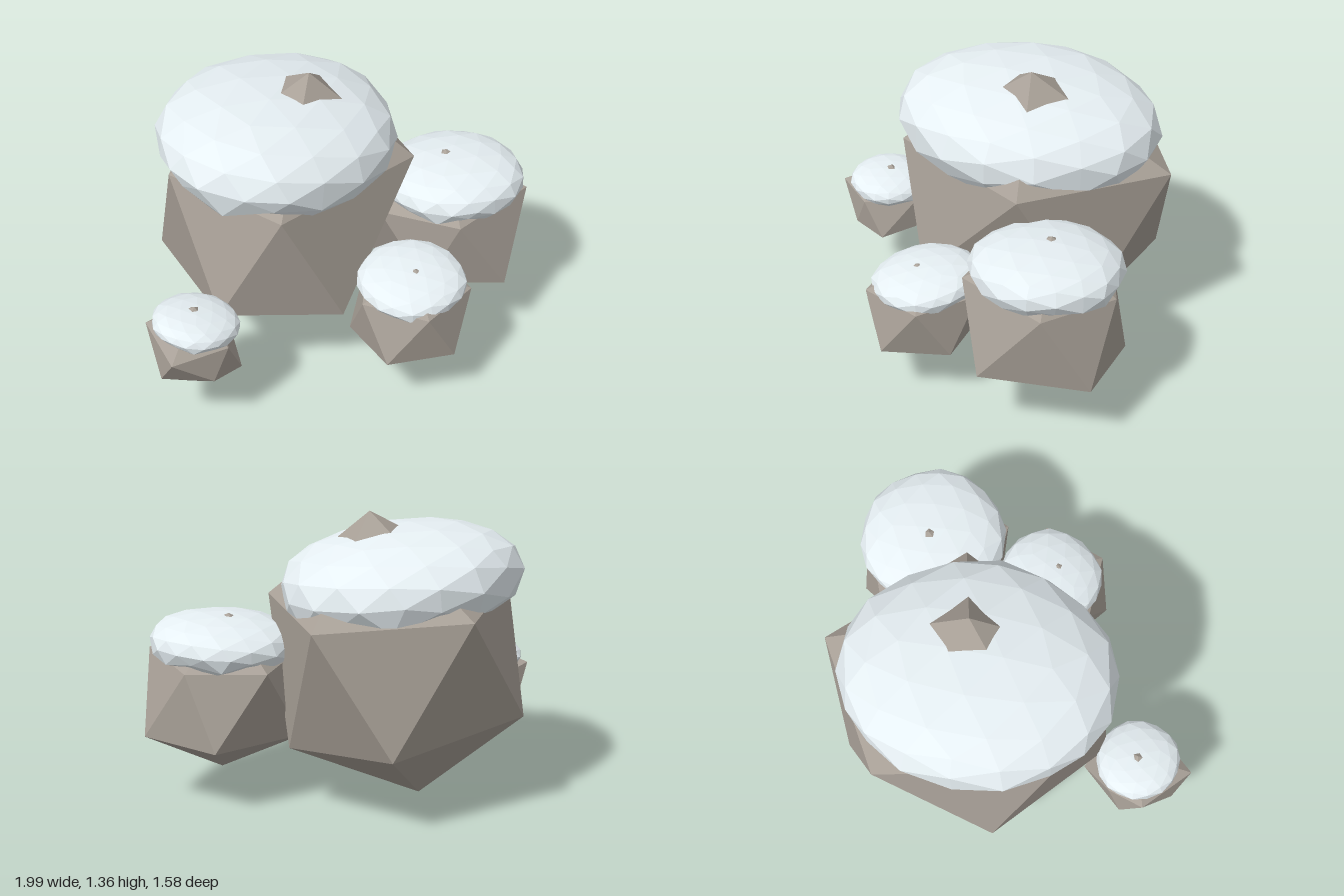
import * as THREE from 'three';
import { ConvexGeometry } from 'three/addons/geometries/ConvexGeometry.js';

const rockMat = new THREE.MeshStandardMaterial({ color: 0xa8a097, flatShading: true });
const snowMat = new THREE.MeshStandardMaterial({ color: 0xe6eff3, flatShading: true });

// Five points around a vertical axis, first one at the given angle (degrees)
function ring(cx, y, cz, radius, phase) {
  return Array.from({ length: 5 }, (_, i) => {
    const a = THREE.MathUtils.degToRad(phase + i * 72);
    return [cx + radius * Math.cos(a), y, cz + radius * Math.sin(a)];
  });
}

// Twenty-sided boulder: peak, two rings of five corners, foot.
// Unless given, the lower ring is the upper one mirrored through the centre.
function boulder(name, { peak, foot, upper, lower }) {
  const opposite = upper.map(p => p.map((c, i) => peak[i] + foot[i] - c));
  const points = [peak, foot, ...upper, ...(lower ?? opposite)].map(p => new THREE.Vector3(...p));
  const mesh = new THREE.Mesh(new ConvexGeometry(points), rockMat);
  mesh.name = name;
  return mesh;
}

// Flattened faceted snow cap with a full, slightly scalloped rim
function snowCap(name, { center, size, tilt, turn }) {
  const geo = new THREE.IcosahedronGeometry(1, 2);
  const pos = geo.attributes.position;
  const v = new THREE.Vector3();
  for (let i = 0; i < pos.count; i++) {
    v.fromBufferAttribute(pos, i);
    const lump = Math.sin(v.x * 5 + center[0] * 9) * Math.sin(v.z * 5 + 1);
    const y = Math.sign(v.y) * Math.abs(v.y) ** 0.85;
    const scallop = v.y < -0.05 ? 0.12 * Math.sin(v.x * 9 + v.z * 7) : 0;
    const grow = 1 + 0.03 * lump;
    pos.setXYZ(i, v.x * grow * size[0], (y + scallop) * size[1], v.z * grow * size[2]);
  }
  geo.computeVertexNormals();
  const mesh = new THREE.Mesh(geo, snowMat);
  mesh.position.set(...center);
  mesh.rotation.set(tilt[0], turn, tilt[1], 'ZXY');
  mesh.name = name;
  return mesh;
}

const ROCKS = [
  {
    name: 'large',
    rock: {
      peak: [-0.05, 1.36, -0.1], foot: [-0.28, 0, -0.16],
      upper: [[-0.31, 0.97, -0.78], [0.37, 0.93, -0.62], [0.37, 0.95, 0.15], [-0.4, 0.95, 0.41], [-0.74, 0.99, -0.1]],
      lower: [[-0.11, 0.37, 0.43], [-0.66, 0.43, 0.28], [-0.71, 0.41, -0.4], [0.04, 0.36, -0.74], [0.37, 0.3, -0.22]],
    },
    snow: { center: [-0.19, 1.055, -0.15], size: [0.64, 0.235, 0.55], tilt: [0, -0.09], turn: Math.PI / 4 },
  },
  {
    name: 'medium',
    rock: {
      peak: [0.58, 0.885, 0.07], foot: [0.61, 0.12, 0.14],
      upper: [[0.92, 0.7, 0.27], [0.47, 0.7, 0.45], [0.2, 0.68, 0.15], [0.48, 0.67, -0.27], [0.83, 0.66, -0.13]],
    },
    snow: { center: [0.6, 0.75, 0.1], size: [0.35, 0.127, 0.35], tilt: [-0.04, 0.03], turn: 0.9 },
  },
  {
    name: 'front small',
    rock: {
      peak: [0.19, 0.63, 0.56], foot: [0.17, 0.16, 0.51],
      upper: ring(0.19, 0.52, 0.53, 0.27, 28),
    },
    snow: { center: [0.19, 0.545, 0.52], size: [0.25, 0.085, 0.25], tilt: [0.1, 0.04], turn: 0.3 },
  },
  {
    name: 'side small',
    rock: {
      peak: [-0.8, 0.58, 0.35], foot: [-0.83, 0.17, 0.37],
      upper: [[-0.71, 0.45, 0.53], [-0.98, 0.45, 0.55], [-1, 0.48, 0.25], [-0.84, 0.45, 0.17], [-0.63, 0.45, 0.28]],
    },
    snow: { center: [-0.8, 0.5, 0.36], size: [0.2, 0.068, 0.2], tilt: [0, -0.12], turn: 1.2 },
  },
];

export function createModel() {
  const model = new THREE.Group();
  model.name = 'snowyRocks';
  for (const { name, rock, snow } of ROCKS) {
    const group = new THREE.Group();
    group.name = `${name} snowy rock`;
    group.add(boulder(`${name} boulder`, rock), snowCap(`${name} snow cap`, snow));
    model.add(group);
  }
  return model;
}
